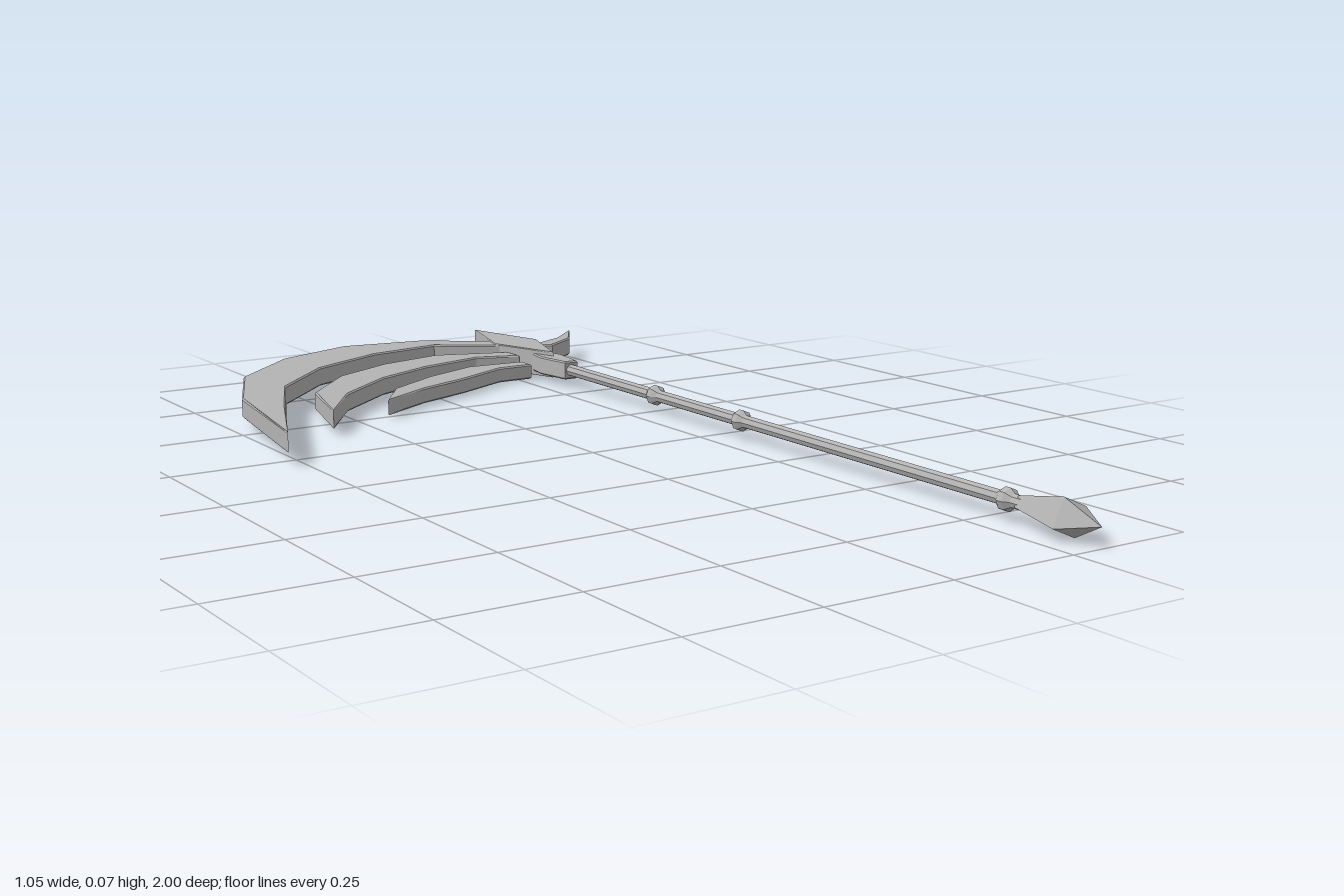
import * as THREE from 'three';

const X = 0.31, Y = 0.04; // axis of the shaft

export function createModel() {
  const model = new THREE.Group();
  const steel = new THREE.MeshStandardMaterial({ color: 0xb3b3b3 });
  steel.name = 'grey steel';
  steel.flatShading = true;

  const add = (name, geometry) => {
    const mesh = new THREE.Mesh(geometry, steel);
    mesh.name = name;
    model.add(mesh);
    return mesh;
  };

  // Flat plate: an outline in x, z raised from y0 to y1, with a fine bevel
  const plate = (name, y0, y1, outline, bevel = 0.003) => {
    const shape = new THREE.Shape(outline.map(([x, z]) => new THREE.Vector2(x, -z)));
    const g = new THREE.ExtrudeGeometry(shape, {
      depth: y1 - y0 - 2 * bevel, bevelEnabled: true, bevelSegments: 1,
      bevelSize: bevel, bevelThickness: bevel, bevelOffset: -bevel,
    });
    g.rotateX(-Math.PI / 2).translate(0, y0 + bevel, 0);
    return add(name, g);
  };

  // Turned part along z: profile of [radius, z], back to front
  const turned = (name, profile, sides, twist = 0) => {
    const g = new THREE.LatheGeometry(profile.map(([r, z]) => new THREE.Vector2(r, z)), sides);
    g.rotateX(Math.PI / 2).rotateZ(twist).translate(X, Y, 0);
    return add(name, g);
  };

  // Three curved blades, stepped down in height
  plate('largeBlade', 0.027, 0.067, [
    [0.28, -0.85], [0.14, -0.95], [-0.045, -0.98], [-0.225, -0.91], [-0.383, -0.763],
    [-0.478, -0.551], [-0.53, -0.217], [-0.436, -0.435], [-0.351, -0.62],
    [-0.203, -0.768], [-0.03, -0.853], [0.135, -0.88], [0.275, -0.785],
  ]);
  plate('middleBlade', 0.015, 0.053, [
    [0.27, -0.779], [0.114, -0.835], [-0.034, -0.8], [-0.177, -0.726], [-0.299, -0.594],
    [-0.346, -0.408], [-0.246, -0.546], [-0.108, -0.657], [0.029, -0.721],
    [0.177, -0.758], [0.27, -0.726],
  ]);
  plate('smallBlade', 0.008, 0.041, [
    [0.27, -0.715], [0.14, -0.726], [0.013, -0.673], [-0.114, -0.594], [-0.182, -0.493],
    [-0.061, -0.562], [0.061, -0.61], [0.188, -0.673], [0.27, -0.673],
  ]);

  // Hook opposite the blades
  plate('backHook', 0.021, 0.061, [
    [0.352, -0.8], [0.44, -0.842], [0.523, -0.917], [0.463, -0.821],
    [0.383, -0.768], [0.352, -0.784],
  ]);

  // Diamond head and the socket under it
  plate('diamondHead', 0.011, 0.069,
    [[X, -1], [X - 0.056, -0.81], [X, -0.645], [X + 0.056, -0.81]], 0.002);
  plate('socket', 0.02, 0.06, [
    [X - 0.02, -0.7], [X - 0.028, -0.655], [X - 0.016, -0.57],
    [X + 0.016, -0.57], [X + 0.028, -0.655], [X + 0.02, -0.7],
  ]);

  // Shaft with bulging rings
  turned('shaft', [[0.013, -0.6], [0.013, 0.83]], 8);
  for (const z of [-0.24, 0.055, 0.79]) {
    turned('ring', [[0.013, z - 0.017], [0.021, z - 0.006], [0.021, z + 0.006], [0.013, z + 0.017]], 8);
  }

  // Four-sided spike at the foot
  turned('pommel', [[0, 0.82], [0.015, 0.82], [0.039, 0.93], [0, 1]], 4, 0.37);

  return model;
}
